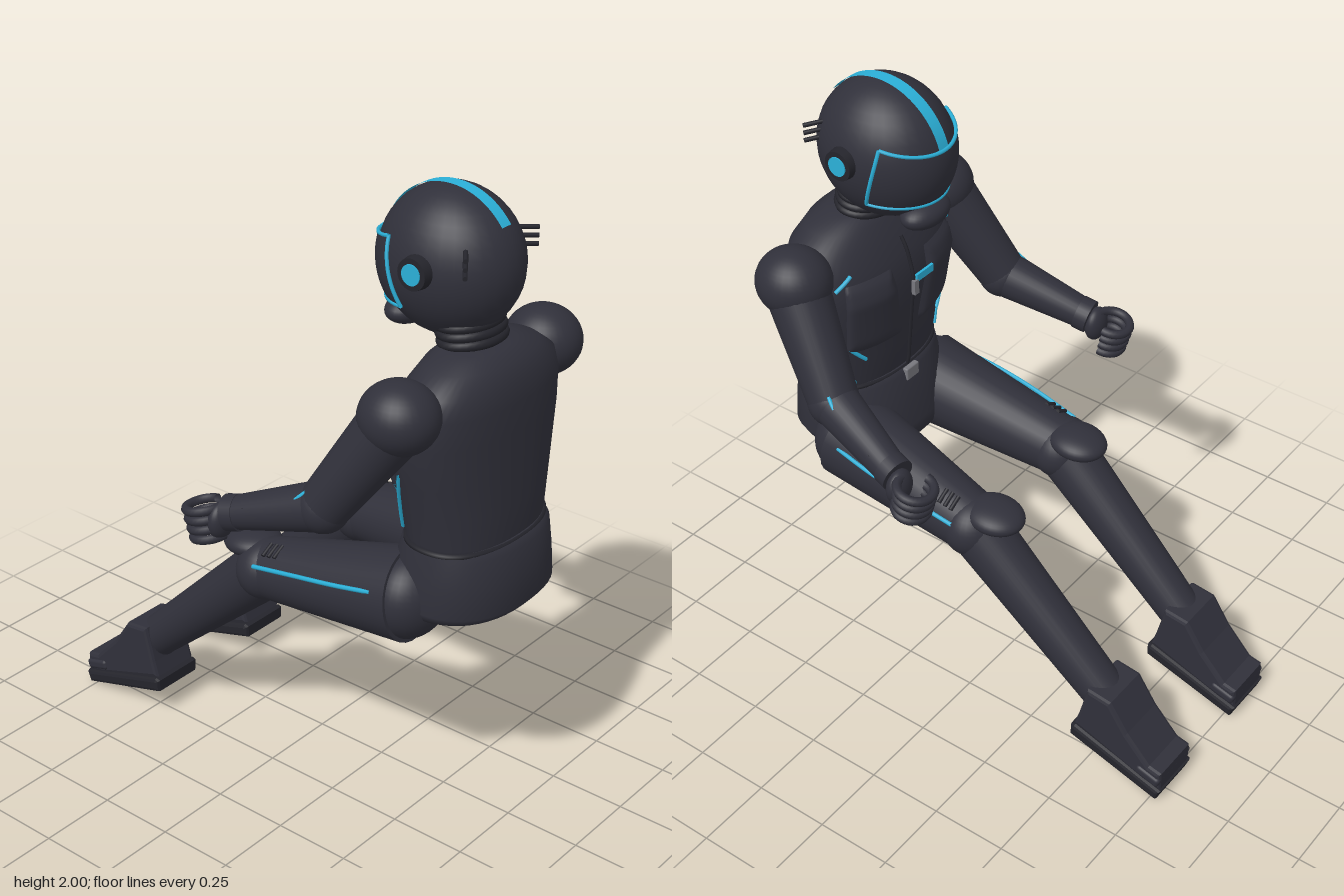
import * as THREE from 'three';
import { RoundedBoxGeometry } from 'three/addons/geometries/RoundedBoxGeometry.js';

const V = (x, y, z) => new THREE.Vector3(x, y, z);
const rad = THREE.MathUtils.degToRad;

// Torso and pelvis sections: [y, half width, back z, front z], bottom to top
const TORSO = [
  [0.96, 0.24, 0.735, 0.44], [1.0, 0.247, 0.74, 0.425], [1.1, 0.265, 0.74, 0.415], [1.2, 0.288, 0.737, 0.405],
  [1.33, 0.315, 0.735, 0.39], [1.42, 0.312, 0.733, 0.41], [1.48, 0.285, 0.725, 0.44], [1.53, 0.215, 0.7, 0.465],
  [1.555, 0.13, 0.66, 0.49], [1.563, 0.07, 0.62, 0.52]];
const PELVIS = [
  [0.71, 0.17, 0.59, 0.4], [0.73, 0.225, 0.66, 0.38], [0.765, 0.26, 0.765, 0.37], [0.79, 0.27, 0.785, 0.37],
  [0.88, 0.262, 0.778, 0.385], [0.97, 0.252, 0.765, 0.41], [1.0, 0.24, 0.735, 0.43]];

// Point on a rounded section; angle 0 faces -z and grows towards +x
function sectionPoint([y, hx, back, front], a, off = 0) {
  const p = (v) => Math.sign(v) * Math.abs(v) ** 0.87;
  const hz = (back - front) / 2;
  return V((hx + off) * p(Math.sin(a)), y, (back + front) / 2 - (hz + off) * p(Math.cos(a)));
}
function torsoPoint(deg, y, off = 0.004) {
  let i = 0;
  while (i < TORSO.length - 2 && TORSO[i + 1][0] < y) i++;
  const t = (y - TORSO[i][0]) / (TORSO[i + 1][0] - TORSO[i][0]);
  return sectionPoint(TORSO[i].map((v, k) => v + (TORSO[i + 1][k] - v) * t), rad(deg), off);
}
// Point on the helmet; azimuth 0 faces -z
function helmetPoint(az, el, off = 0.004) {
  const a = rad(az), e = rad(el), c = Math.cos(e);
  return V((0.187 + off) * c * Math.sin(a), 1.778 + (0.22 + off) * Math.sin(e), 0.47 - (0.221 + off) * c * Math.cos(a));
}
// Closed body through the sections
function loft(rings, n = 48) {
  const pos = [], idx = [];
  const flat = (r) => [r[0], 0.0001, (r[2] + r[3]) / 2, (r[2] + r[3]) / 2];
  const all = [flat(rings[0]), ...rings, flat(rings.at(-1))];
  all.forEach((r, j) => {
    for (let i = 0; i < n; i++) {
      pos.push(...sectionPoint(r, (i / n) * Math.PI * 2).toArray());
      const a = j * n + i, b = j * n + ((i + 1) % n);
      if (j < all.length - 1) idx.push(a, a + n, b, b, a + n, b + n);
    }
  });
  return surface(pos, idx);
}
// Open patch from a function of u, v in -1..1
function patch(f, nu = 20, nv = 12) {
  const pos = [], idx = [], w = nu + 1;
  for (let j = 0; j <= nv; j++) for (let i = 0; i <= nu; i++) {
    pos.push(...f((i / nu) * 2 - 1, (j / nv) * 2 - 1).toArray());
    const a = j * w + i;
    if (i < nu && j < nv) idx.push(a, a + w, a + 1, a + 1, a + w, a + w + 1);
  }
  return surface(pos, idx);
}
function surface(pos, idx) {
  const g = new THREE.BufferGeometry();
  g.setAttribute('position', new THREE.Float32BufferAttribute(pos, 3));
  g.setIndex(idx);
  g.computeVertexNormals();
  return g;
}
function tube(points, r, closed = false) {
  return new THREE.TubeGeometry(new THREE.CatmullRomCurve3(points, closed), points.length * 5, r, 6, closed);
}
// Side profile in (forward, up), extruded across x
function sideExtrude(points, width) {
  const b = 0.012;
  const g = new THREE.ExtrudeGeometry(new THREE.Shape(points.map(([u, y]) => new THREE.Vector2(u, y))),
    { depth: width - 2 * b, bevelSize: b, bevelThickness: b, bevelOffset: -b, bevelSegments: 2 });
  g.translate(0, 0, b - width / 2);
  return g.rotateY(Math.PI / 2);
}

export function createModel() {
  const mat = (name, color) => Object.assign(new THREE.MeshStandardMaterial({ color }), { name });
  const suit = mat('charcoal suit', 0x30303a), dark = mat('dark rubber', 0x24242b);
  const cyan = mat('cyan trim', 0x2bb0d8), grey = mat('grey metal', 0x77777d);
  suit.side = THREE.DoubleSide;
  const root = new THREE.Group();
  root.name = 'seatedDriver';
  function add(name, geo, m = suit, pos = null, parent = root) {
    const mesh = new THREE.Mesh(geo, m);
    mesh.name = name;
    if (pos) mesh.position.copy(pos);
    parent.add(mesh);
    return mesh;
  }
  function ball(name, c, rx, ry = rx, rz = rx, m = suit) {
    const o = add(name, new THREE.SphereGeometry(1, 32, 22), m, c);
    o.scale.set(rx, ry, rz);
    return o;
  }
  function limb(name, a, b, ra, rb, m = suit) {
    const d = b.clone().sub(a);
    const o = add(name, new THREE.CylinderGeometry(rb, ra, d.length(), 28), m, a.clone().add(b).multiplyScalar(0.5));
    o.quaternion.setFromUnitVectors(V(0, 1, 0), d.normalize());
    return o;
  }
  const range = (n, f) => Array.from({ length: n + 1 }, (_, i) => f(i / n));

  // Trunk
  add('torso', loft(TORSO));
  add('pelvis', loft(PELVIS));
  for (let i = 0; i < 3; i++) {
    const ring = add('neckRing', new THREE.TorusGeometry(0.08, 0.016, 10, 32), dark, V(0, 1.565 + i * 0.025, 0.55 - i * 0.006));
    ring.rotation.x = Math.PI / 2 - 0.12;
    ring.scale.x = 1.25;
  }
  limb('neck', V(0, 1.53, 0.56), V(0, 1.65, 0.53), 0.078, 0.075);
  add('zip', tube(range(12, (t) => torsoPoint(0, 0.97 + t * 0.5, 0.006)), 0.006), dark);
  add('zipPull', new THREE.BoxGeometry(0.02, 0.05, 0.014), grey, torsoPoint(0, 1.3, 0.014));
  add('chestBar', new THREE.BoxGeometry(0.08, 0.025, 0.009), cyan, torsoPoint(0, 1.33, 0.012).add(V(-0.045, 0, 0)));
  add('belt', tube(range(31, (t) => torsoPoint(t * 348.75, 0.985, 0.002)), 0.009, true), dark);
  add('beltBuckle', new RoundedBoxGeometry(0.06, 0.045, 0.02, 2, 0.005), grey, V(0, 0.965, 0.41));

  // Helmet
  ball('helmetShell', V(0, 1.778, 0.47), 0.187, 0.22, 0.221);
  ball('chinGuard', V(0, 1.595, 0.33), 0.095, 0.045, 0.062);
  const visorAt = (u, v, off) => {
    const top = 14 + 8 * u * u, bottom = -33 + 4 * u * u, t = (v + 1) / 2;
    return helmetPoint(u * (75 - 14 * t), bottom + (top - bottom) * t, off);
  };
  add('visor', patch((u, v) => visorAt(u, v, 0.006), 32, 14));
  const edge = [[-1, -1, 1, -1], [1, -1, 1, 1], [1, 1, -1, 1], [-1, 1, -1, -1]];
  for (const [a, b, c, d] of edge)
    add('visorTrim', tube(range(16, (t) => visorAt(a + (c - a) * t, b + (d - b) * t, 0.006)), 0.006), cyan);
  const stripe = add('helmetStripe', patch((u, v) => {
    const e = rad(79 + v * 64);
    return V(u * 0.021, 1.778 + 0.223 * Math.sin(e), 0.47 - 0.224 * Math.cos(e));
  }, 2, 32), cyan);
  stripe.material = cyan;
  cyan.side = THREE.DoubleSide;

  for (const s of [1, -1]) {
    const P = (x, y, z) => V(s * x, y, z);
    // Helmet ear discs and rear fins
    limb('earPod', P(0.165, 1.793, 0.485), P(0.207, 1.793, 0.485), 0.052, 0.047, dark);
    limb('earDisc', P(0.2, 1.793, 0.485), P(0.211, 1.793, 0.485), 0.031, 0.031, cyan);
    for (let i = 0; i < 3; i++)
      limb('helmetFin', P(0.125, 1.865 - i * 0.025, 0.605), P(0.172, 1.86 - i * 0.025, 0.64), 0.007, 0.007, dark);

    // Chest panels and trim
    add('chestPanel', patch((u, v) => torsoPoint(s * (30 + 21 * u - 3 * v * u), 1.27 + 0.13 * v,
      0.002 + 0.016 * (1 - Math.max(Math.abs(u), Math.abs(v)) ** 8)), 20, 20));
    add('upperChestTrim', tube(range(5, (t) => torsoPoint(s * (42 + 14 * t), 1.43 - 0.04 * t)), 0.007), cyan);
    add('lowerChestTrim', tube(range(5, (t) => torsoPoint(s * (38 + 14 * t), 1.1 + 0.06 * t)), 0.007), cyan);
    add('flankTrim', tube(range(8, (t) => torsoPoint(s * (75 - 25 * t), 1.22 - 0.21 * t)), 0.006), cyan);

    // Arm
    const shoulder = P(0.345, 1.44, 0.56), elbow = P(0.425, 1.13, 0.36), wrist = P(0.495, 1.04, 0.08);
    ball('shoulderPad', shoulder, 0.115, 0.108, 0.12);
    limb('upperArm', shoulder, elbow, 0.1, 0.078);
    ball('elbow', elbow, 0.08);
    limb('forearm', elbow, wrist, 0.076, 0.05);
    limb('elbowTrim', P(0.474, 1.185, 0.335), P(0.487, 1.155, 0.305), 0.006, 0.006, cyan);
    for (let i = 0; i < 2; i++)
      limb('forearmRib', P(0.515, 1.1 - i * 0.02, 0.2), P(0.522, 1.085 - i * 0.02, 0.14), 0.006, 0.006, dark);
    limb('cuff', P(0.49, 1.045, 0.1), P(0.498, 1.035, 0.06), 0.055, 0.055);

    // Curled hand
    ball('palm', P(0.51, 1.01, 0.045), 0.05, 0.058, 0.032);
    const hand = new THREE.Group();
    hand.name = 'fingers';
    hand.position.copy(P(0.512, 1.0, -0.01));
    hand.rotation.x = -0.22;
    root.add(hand);
    for (let i = 0; i < 4; i++) {
      const g = new THREE.TorusGeometry(0.056 - 0.002 * i, 0.0145, 8, 24, rad(275));
      g.rotateZ(rad(s > 0 ? 180 : 85)).rotateX(Math.PI / 2);
      add('finger', g, suit, V(0, 0.038 - i * 0.03, 0), hand);
    }

    // Leg
    const hip = P(0.195, 0.79, 0.5), knee = P(0.235, 0.705, -0.02), ankle = P(0.222, 0.25, -0.52);
    ball('hip', hip, 0.135, 0.135, 0.11);
    limb('thigh', hip, knee, 0.146, 0.098);
    ball('knee', knee, 0.108, 0.1, 0.095);
    ball('kneePad', P(0.222, 0.768, -0.09), 0.085, 0.042, 0.098).rotation.x = -0.08;
    limb('shin', knee, ankle, 0.095, 0.07);
    ball('ankle', ankle, 0.072);
    add('thighTrim', tube([P(0.325, 0.835, 0.45), P(0.337, 0.815, 0.32), P(0.338, 0.79, 0.17), P(0.329, 0.755, 0)], 0.007), cyan);
    for (let i = 0; i < 3; i++)
      limb('thighRib', P(0.262, 0.812 + i * 0.004, 0.02 + i * 0.022), P(0.305, 0.788 + i * 0.004, 0.02 + i * 0.022), 0.007, 0.007, dark);

    // Boot with two-layer sole
    const foot = P(0.22, 0, 0);
    add('boot', sideExtrude([[0.455, 0.15], [0.47, 0.2], [0.5, 0.32], [0.585, 0.31], [0.65, 0.215], [0.735, 0.125],
      [0.78, 0.115], [0.78, 0.05], [0.72, 0.06]], 0.175), suit, foot);
    add('sole', sideExtrude([[0.445, 0.14], [0.46, 0.145], [0.785, 0.045], [0.77, 0.005], [0.445, 0.1]], 0.19), dark, foot);
    add('toeCap', new RoundedBoxGeometry(0.19, 0.035, 0.09, 2, 0.012), suit, P(0.22, 0.088, -0.735)).rotation.x = -0.28;
  }
  return root;
}
